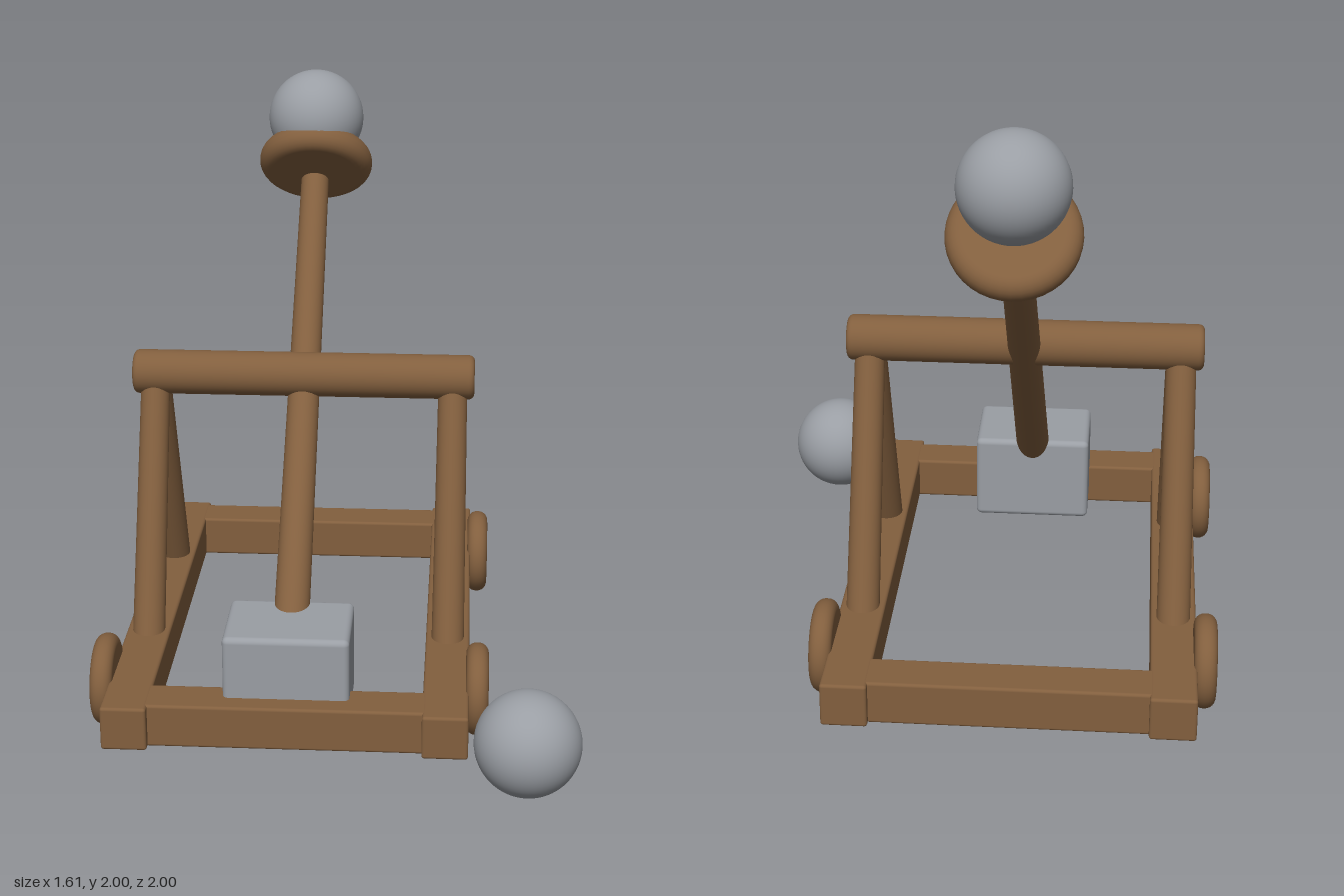
import * as THREE from 'three';
import { RoundedBoxGeometry } from 'three/addons/geometries/RoundedBoxGeometry.js';

const wood = new THREE.MeshStandardMaterial({ color: 0x825f3e });
wood.name = 'wood';
const stone = new THREE.MeshStandardMaterial({ color: 0x9a9ea4 });
stone.name = 'stone';

const MID = -0.15; // centre line of the machine; the spare shot lies beside it

// Solid of revolution along y with rounded rims; may taper from r0 (bottom) to r1 (top)
function roundedRod(r0, r1, length, rim) {
  const pts = [new THREE.Vector2(0, -length / 2)];
  const steps = 6;
  for (const [r, y, start] of [[r0, -length / 2 + rim, -Math.PI / 2], [r1, length / 2 - rim, 0]]) {
    for (let i = 0; i <= steps; i++) {
      const a = start + (i / steps) * Math.PI / 2;
      pts.push(new THREE.Vector2(r - rim + rim * Math.cos(a), y + rim * Math.sin(a)));
    }
  }
  pts.push(new THREE.Vector2(0, length / 2));
  return new THREE.LatheGeometry(pts, 40);
}

export function createModel() {
  const model = new THREE.Group();
  model.name = 'catapult';

  const add = (name, geometry, material, x, y, z) => {
    const mesh = new THREE.Mesh(geometry, material);
    mesh.name = name;
    mesh.position.set(x, y, z);
    model.add(mesh);
    return mesh;
  };

  // Rod between two points given as [x, y, z]
  const rod = (name, from, to, r0, r1, rim) => {
    const a = new THREE.Vector3(...from);
    const b = new THREE.Vector3(...to);
    const d = b.clone().sub(a);
    const c = a.clone().add(b).multiplyScalar(0.5);
    const mesh = add(name, roundedRod(r0, r1, d.length(), rim), wood, c.x, c.y, c.z);
    mesh.quaternion.setFromUnitVectors(new THREE.Vector3(0, 1, 0), d.normalize());
  };

  // Base frame
  for (const z of [0.66, -0.9]) {
    add('crossBeam', new RoundedBoxGeometry(0.94, 0.148, 0.15, 3, 0.01), wood, MID, 0.145, z);
  }
  for (const side of [-1, 1]) {
    const x = MID + side * 0.52;
    add('sideBeam', new RoundedBoxGeometry(0.15, 0.15, 1.765, 3, 0.01), wood, x, 0.145, -0.1175);

    // Wheels, rounded at the rim
    for (const z of [0.46, -0.685]) {
      const wheel = add('wheel', roundedRod(0.153, 0.153, 0.075, 0.035), wood, MID + side * 0.622, 0.172, z);
      wheel.rotation.z = Math.PI / 2;
    }

    // Leaning posts that meet under the top bar
    for (const z of [0.195, -0.52]) {
      rod('post', [x, 0.16, z], [x, 1.05, -0.163], 0.056, 0.05, 0.008);
    }
  }

  // Top bar
  rod('topBar', [-0.745, 1.055, -0.163], [0.445, 1.055, -0.163], 0.077, 0.077, 0.02);

  // Throwing arm with counterweight, cup and loaded shot
  rod('throwingArm', [MID, 0.31, 0.486], [MID, 1.615, -0.738], 0.06, 0.05, 0.008);
  add('counterweight', new RoundedBoxGeometry(0.414, 0.31, 0.31, 4, 0.02), stone, MID, 0.275, 0.51);
  const cup = add('cup', roundedRod(0.206, 0.206, 0.105, 0.05), wood, MID, 1.667, -0.79);
  cup.rotation.x = -Math.PI / 4;

  const ball = new THREE.SphereGeometry(0.172, 48, 32);
  add('loadedShot', ball, stone, MID, 1.828, -0.817);
  add('spareShot', ball, stone, 0.633, 0.172, 0.823);

  return model;
}
